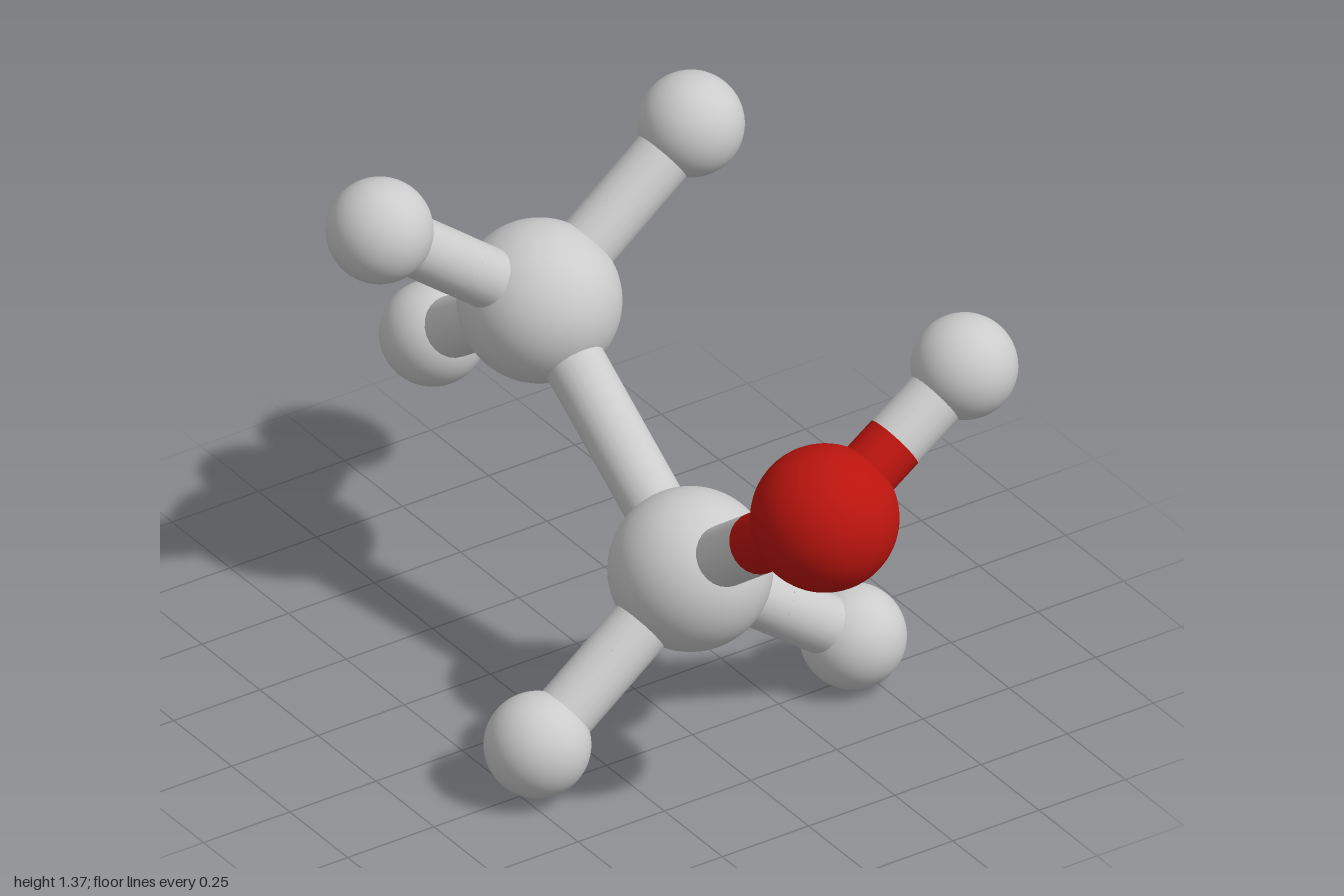
import * as THREE from 'three';

const BOND_RADIUS = 0.076;
const UP = new THREE.Vector3(0, 1, 0);

const grey = new THREE.MeshStandardMaterial({ color: 0xcccccc });
const red = new THREE.MeshStandardMaterial({ color: 0xbb140e });

// Atom kinds: radius and material
const kinds = {
  carbon: { radius: 0.2, material: grey },
  oxygen: { radius: 0.18, material: red },
  hydrogen: { radius: 0.13, material: grey },
};

const atoms = {
  lowerCarbon: { kind: 'carbon', at: [0, 0.47, 0.24] },
  upperCarbon: { kind: 'carbon', at: [0, 0.895, -0.41] },
  oxygen: { kind: 'oxygen', at: [0, 0.915, 0.82] },
  oxygenHydrogen: { kind: 'hydrogen', at: [0.418, 1.19, 0.8] },
  lowerLeftHydrogen: { kind: 'hydrogen', at: [0.455, 0.135, 0.265] },
  lowerRightHydrogen: { kind: 'hydrogen', at: [-0.46, 0.145, 0.265] },
  upperLeftHydrogen: { kind: 'hydrogen', at: [0.456, 1.225, -0.435] },
  upperRightHydrogen: { kind: 'hydrogen', at: [-0.45, 1.24, -0.43] },
  backHydrogen: { kind: 'hydrogen', at: [0, 0.565, -0.87] },
};

const bonds = [
  ['lowerCarbon', 'upperCarbon'],
  ['lowerCarbon', 'oxygen'],
  ['oxygen', 'oxygenHydrogen'],
  ['lowerCarbon', 'lowerLeftHydrogen'],
  ['lowerCarbon', 'lowerRightHydrogen'],
  ['upperCarbon', 'upperLeftHydrogen'],
  ['upperCarbon', 'upperRightHydrogen'],
  ['upperCarbon', 'backHydrogen'],
];

function makeAtom(name, { kind, at }) {
  const { radius, material } = kinds[kind];
  const mesh = new THREE.Mesh(new THREE.SphereGeometry(radius, 48, 32), material);
  mesh.position.set(...at);
  mesh.name = name + 'Ball';
  return mesh;
}

// Open tube from an atom's centre to the middle of the bond
function makeHalfBond(name, start, end, material) {
  const direction = end.clone().sub(start);
  const length = direction.length();
  const geometry = new THREE.CylinderGeometry(BOND_RADIUS, BOND_RADIUS, length, 24, 1, true);
  const mesh = new THREE.Mesh(geometry, material);
  mesh.position.copy(start).lerp(end, 0.5);
  mesh.quaternion.setFromUnitVectors(UP, direction.normalize());
  mesh.name = name;
  return mesh;
}

export function createModel() {
  const model = new THREE.Group();
  model.name = 'ballAndStickMolecule';

  for (const [name, atom] of Object.entries(atoms)) model.add(makeAtom(name, atom));

  // Each half of a bond takes the colour of its own atom
  for (const [from, to] of bonds) {
    const bond = new THREE.Group();
    bond.name = `${from}To${to[0].toUpperCase()}${to.slice(1)}Bond`;
    const a = new THREE.Vector3(...atoms[from].at);
    const b = new THREE.Vector3(...atoms[to].at);
    const middle = a.clone().lerp(b, 0.5);
    bond.add(makeHalfBond('firstHalfBond', a, middle, kinds[atoms[from].kind].material));
    bond.add(makeHalfBond('secondHalfBond', b, middle, kinds[atoms[to].kind].material));
    model.add(bond);
  }
  return model;
}
